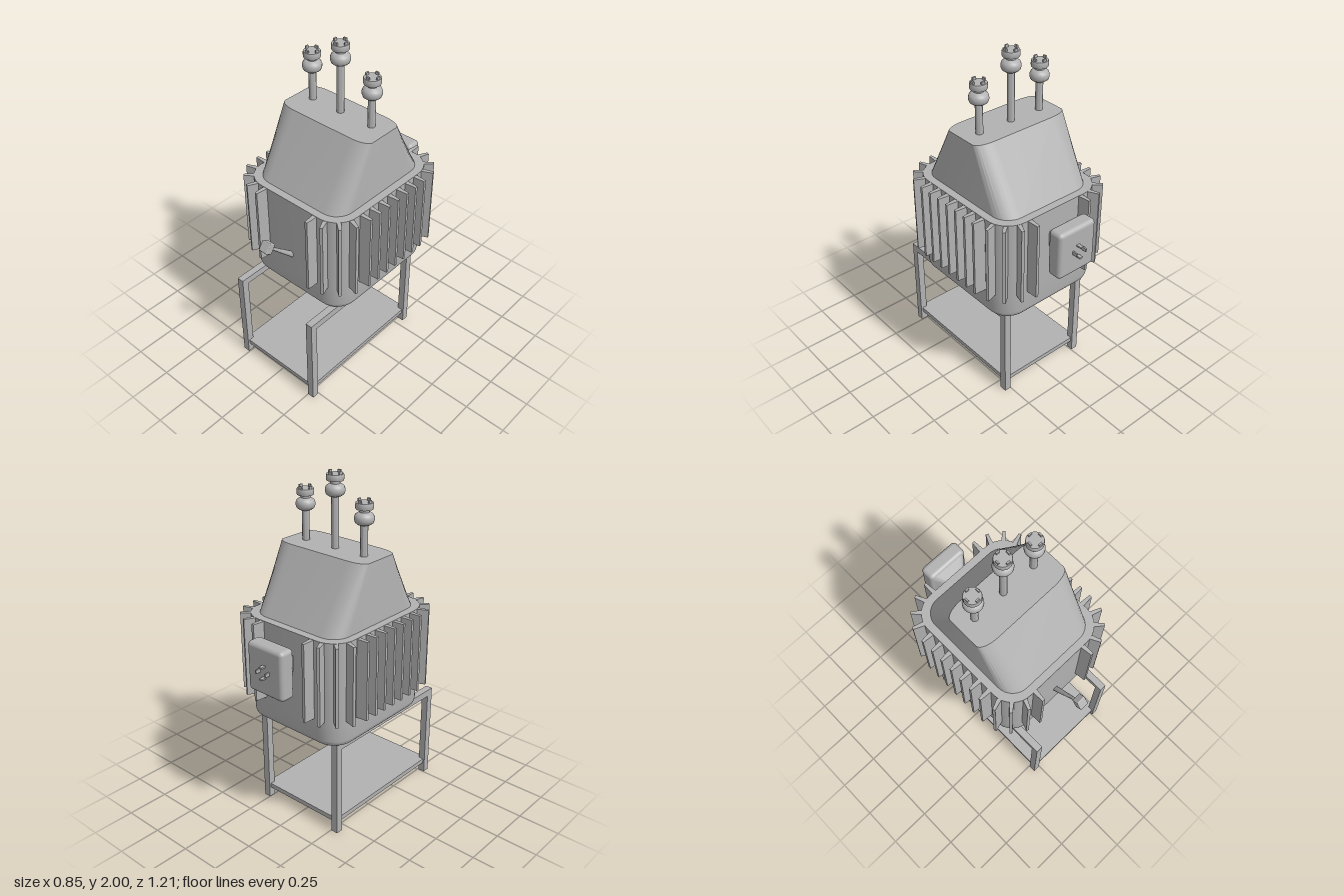
import * as THREE from 'three';
import { toCreasedNormals } from 'three/addons/utils/BufferGeometryUtils.js';
import { RoundedBoxGeometry } from 'three/addons/geometries/RoundedBoxGeometry.js';

const steel = new THREE.MeshStandardMaterial({ color: 0xb2b2b2 });
steel.name = 'grey steel';

function add(parent, name, geometry, x = 0, y = 0, z = 0) {
  const mesh = new THREE.Mesh(geometry, steel);
  mesh.name = name;
  mesh.position.set(x, y, z);
  parent.add(mesh);
  return mesh;
}

// Lofts rounded rectangles {y, w, d, z, rx, rz} (half sizes, corner radii) upwards, capped at both ends
function loft(sections, steps = 8, crease = 0.6) {
  const pos = [], index = [], n = 4 * (steps + 1);
  for (const { y, w, d, z = 0, rx, rz = rx } of sections) {
    for (let c = 0; c < 4; c++) {
      const sx = c === 0 || c === 3 ? 1 : -1, sz = c < 2 ? 1 : -1;
      for (let i = 0; i <= steps; i++) {
        const a = (c + i / steps) * Math.PI / 2;
        pos.push(sx * (w - rx) + rx * Math.cos(a), y, z + sz * (d - rz) + rz * Math.sin(a));
      }
    }
  }
  for (let s = 0; s < sections.length - 1; s++) {
    for (let i = 0; i < n; i++) {
      const a = s * n + i, b = s * n + (i + 1) % n;
      index.push(a, a + n, b, b, a + n, b + n);
    }
  }
  const top = (sections.length - 1) * n;
  for (let i = 1; i < n - 1; i++) {
    index.push(0, i, i + 1, top, top + i + 1, top + i);
  }
  const g = new THREE.BufferGeometry();
  g.setAttribute('position', new THREE.Float32BufferAttribute(pos, 3));
  g.setIndex(index);
  return toCreasedNormals(g, crease);
}

// Four small contact prongs in a ring, pointing up from y = 0
function addProngs(parent, radius, height, y) {
  for (let i = 0; i < 4; i++) {
    const a = i * Math.PI / 2;
    const p = add(parent, 'contactProng', new THREE.BoxGeometry(0.009, height, 0.02),
      radius * Math.cos(a), y + height / 2, radius * Math.sin(a));
    p.rotation.y = -a;
  }
}

function addBushing(parent, x, tip) {
  const bushing = new THREE.Group();
  bushing.name = 'bushing';
  bushing.position.set(x, 0, -0.028);
  const profile = [
    [0.021, 1.57 - tip], [0.021, -0.137], [0.036, -0.132], [0.049, -0.122], [0.054, -0.108],
    [0.054, -0.094], [0.049, -0.08], [0.036, -0.07], [0.027, -0.066], [0.027, -0.05],
    [0.046, -0.05], [0.048, -0.045], [0.048, -0.02], [0.046, -0.015], [0, -0.015],
  ].map(([r, y]) => new THREE.Vector2(r, tip + y));
  add(bushing, 'insulator', toCreasedNormals(new THREE.LatheGeometry(profile, 24), 0.75));
  addProngs(bushing, 0.036, 0.03, tip - 0.03);
  parent.add(bushing);
}

// Tapered vertical cooling fin, pointing outwards at an angle in plan
function addFin(parent, x, z, angle, length) {
  const root = -0.03;
  const shape = new THREE.Shape([
    new THREE.Vector2(root, -0.016), new THREE.Vector2(length, -0.008),
    new THREE.Vector2(length, 0.008), new THREE.Vector2(root, 0.016),
  ]);
  const g = new THREE.ExtrudeGeometry(shape, { depth: 0.465, bevelEnabled: false });
  g.rotateX(-Math.PI / 2);
  add(parent, 'coolingFin', g, x, 0.753, z).rotation.y = angle;
}

export function createModel() {
  const model = new THREE.Group();
  model.name = 'transformer';

  // Tank with a rounded lower edge
  const tank = [{ y: 0.59, w: 0.3, d: 0.35, z: -0.008, rx: 0.09 }];
  for (let i = 1; i <= 6; i++) {
    const a = i / 6 * Math.PI / 2;
    tank.push({ y: 0.63 - 0.04 * Math.cos(a), w: 0.308 + 0.04 * Math.sin(a),
      d: 0.352 + 0.04 * Math.sin(a), z: -0.008, rx: 0.09 + 0.04 * Math.sin(a) });
  }
  tank.push({ y: 0.75, w: 0.355, d: 0.398, z: -0.009, rx: 0.14 });
  tank.push({ y: 1.22, w: 0.355, d: 0.398, z: -0.009, rx: 0.14 });
  add(model, 'tank', loft(tank));

  // Hood narrowing towards the top, front to back only
  add(model, 'hood', loft([
    { y: 1.21, w: 0.31, d: 0.36, z: -0.008, rx: 0.11 },
    { y: 1.58, w: 0.31, d: 0.138, z: -0.008, rx: 0.11, rz: 0.043 },
  ]));

  // Cooling fins: seven on each side, four round each corner
  const fins = new THREE.Group();
  fins.name = 'coolingFins';
  model.add(fins);
  for (const s of [1, -1]) {
    for (let i = -3; i <= 3; i++) {
      addFin(fins, s * 0.352, -0.01 + i * 0.075, s > 0 ? 0 : Math.PI, 0.072);
    }
    for (const f of [1, -1]) {
      for (const [x, z, deg, len] of [
        [0.335, 0.292, 20, 0.08], [0.3, 0.342, 43, 0.078],
        [0.246, 0.382, 67, 0.073], [0.182, 0.395, 88, 0.072],
      ]) {
        const a = Math.atan2(-f * Math.sin(deg * Math.PI / 180), s * Math.cos(deg * Math.PI / 180));
        addFin(fins, s * x, -0.01 + f * z, a, len);
      }
    }
  }

  // Three bushings, the middle one taller
  addBushing(model, -0.212, 1.885);
  addBushing(model, -0.011, 2.0);
  addBushing(model, 0.204, 1.885);

  // Connection box on the back, joined to the tank by a flared neck
  const box = new THREE.Group();
  box.name = 'connectionBox';
  box.position.set(-0.003, 1.035, -0.4);
  box.rotation.x = -Math.PI / 2;
  model.add(box);
  add(box, 'neck', loft([
    { y: -0.01, w: 0.045, d: 0.05, rx: 0.012 },
    { y: 0.015, w: 0.045, d: 0.05, rx: 0.012 },
    { y: 0.1, w: 0.127, d: 0.142, rx: 0.03 },
  ], 4));
  add(box, 'boxBody', new RoundedBoxGeometry(0.258, 0.095, 0.29, 4, 0.025), 0, 0.1325, 0);
  addProngs(box, 0.034, 0.04, 0.17);

  // Lever on the front, with a block grip
  const lever = new THREE.Group();
  lever.name = 'lever';
  lever.position.set(0, 0.84, 0.38);
  lever.rotation.x = 0.82;
  model.add(lever);
  add(lever, 'leverArm', toCreasedNormals(new THREE.CylinderGeometry(0.008, 0.017, 0.25, 12), 0.7),
    -0.003, 0.115, 0);
  const grip = add(lever, 'leverGrip', new RoundedBoxGeometry(0.058, 0.046, 0.062, 2, 0.005), 0, 0.257, 0);
  grip.rotation.x = 0.15;

  // Stand: two side frames and a shelf
  const stand = new THREE.Group();
  stand.name = 'stand';
  model.add(stand);
  for (const x of [-0.275, 0.27]) {
    for (const z of [0.525, -0.315]) {
      add(stand, 'leg', new THREE.BoxGeometry(0.042, 0.59, 0.042), x, 0.295, z);
    }
    add(stand, 'topRail', new THREE.BoxGeometry(0.042, 0.042, 0.84), x, 0.569, 0.105);
  }
  add(stand, 'shelf', new THREE.BoxGeometry(0.565, 0.028, 0.86), -0.0025, 0.076, 0.105);

  return model;
}
